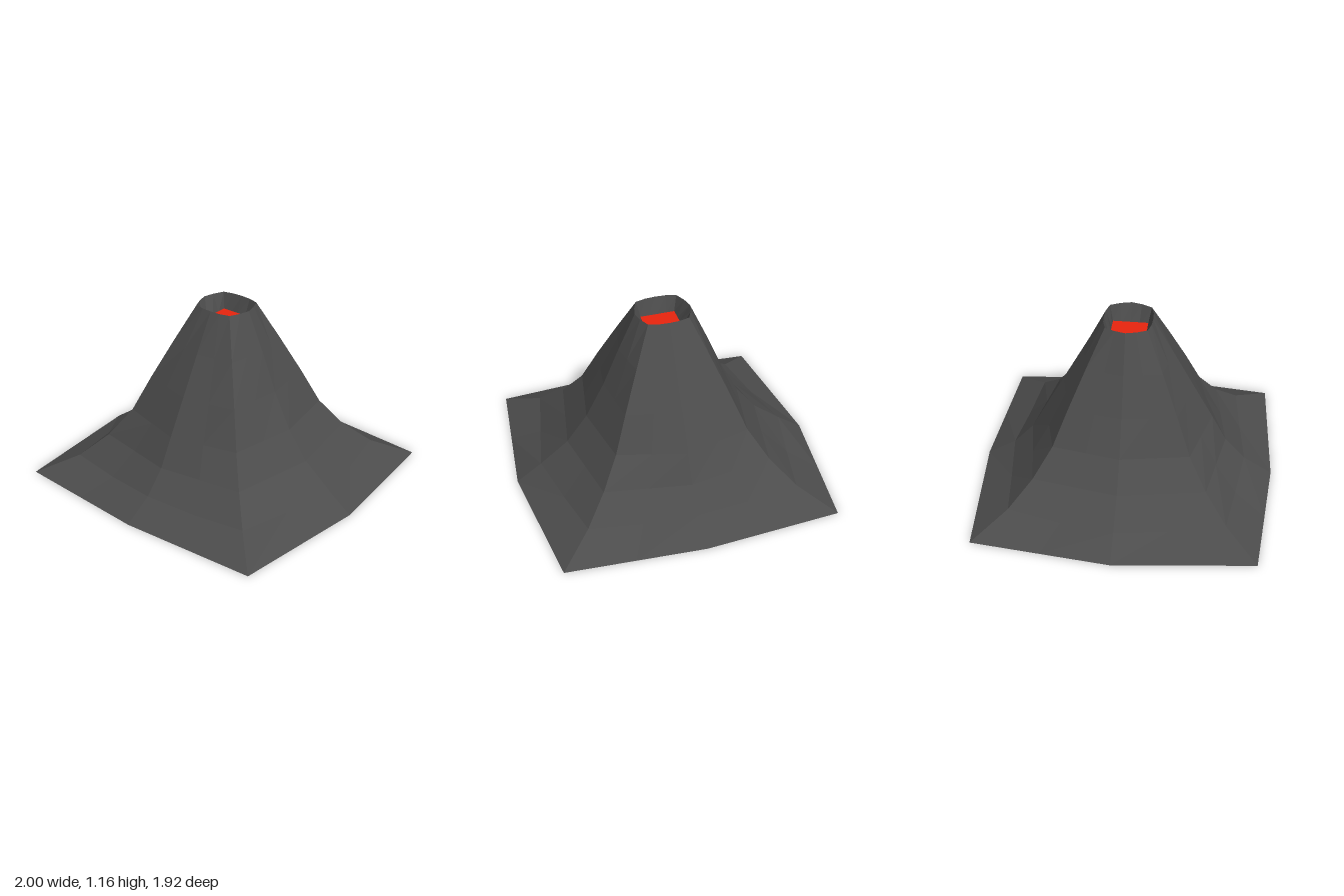
import * as THREE from 'three';

// Height, corner reach, middle of the x sides, middle of the z sides
const LEVELS = [
  [0, 0.9, 1.0, 0.96],
  [0.115, 0.69, 0.835, 0.775],
  [0.26, 0.55, 0.65, 0.645],
  [0.44, 0.435, 0.515, 0.55],
  [0.67, 0.345, 0.395, 0.425],
  [0.92, 0.24, 0.29, 0.29],
  [1.165, 0.133, 0.18, 0.155],
];
const CRATER = [
  [1.165, 0.133, 0.18, 0.155],
  [1.06, 0.113, 0.113, 0.113],
];

// Four bowed sides, each split into four segments
function ring([y, c, mx, mz], level, bow) {
  const points = [];
  for (let side = 0; side < 4; side++) {
    const mid = side % 2 ? mz : mx;
    for (let j = 0; j < 4; j++) {
      const along = (j / 2 - 1) * c;
      const quarter = j % 2 === 1;
      const out = [c, (c + mid) / 2 + bow, mid, (c + mid) / 2 + bow][j];
      const dip = quarter && level === 1 ? -0.015 : 0;
      const [x, z] = [[out, along], [-along, out], [-out, -along], [along, -out]][side];
      points.push(new THREE.Vector3(x, y + dip, z));
    }
  }
  return points;
}

// Skin between stacked rings
function loft(levels, bowOf) {
  const rings = levels.map((l, i) => ring(l, i, bowOf(i)));
  const n = rings[0].length;
  const index = [];
  for (let r = 0; r < rings.length - 1; r++) {
    for (let i = 0; i < n; i++) {
      const a = r * n + i, b = r * n + (i + 1) % n;
      index.push(a, a + n, b, b, a + n, b + n);
    }
  }
  const geometry = new THREE.BufferGeometry().setFromPoints(rings.flat());
  geometry.setIndex(index);
  const flat = geometry.toNonIndexed();
  flat.computeVertexNormals();
  return flat;
}

export function createModel() {
  const group = new THREE.Group();
  group.name = 'volcano';
  const rock = new THREE.MeshStandardMaterial({ color: 0x4c4c4c, flatShading: true, side: THREE.DoubleSide });
  const hot = new THREE.MeshStandardMaterial({ color: 0xe8240e, side: THREE.DoubleSide });

  // Open-bottomed mountain shell
  const slopes = new THREE.Mesh(loft(LEVELS, (i) => (i === 6 ? 0.007 : 0)), rock);
  slopes.name = 'slopes';
  group.add(slopes);

  // Funnel running from the rim down to the lava
  const crater = new THREE.Mesh(loft(CRATER, (i) => (i === 0 ? 0.007 : 0)), rock);
  crater.name = 'crater';
  group.add(crater);

  // Square lava pool
  const lava = new THREE.Mesh(new THREE.PlaneGeometry(0.226, 0.226), hot);
  lava.name = 'lava';
  lava.rotation.x = -Math.PI / 2;
  lava.position.y = 1.06;
  group.add(lava);

  return group;
}
